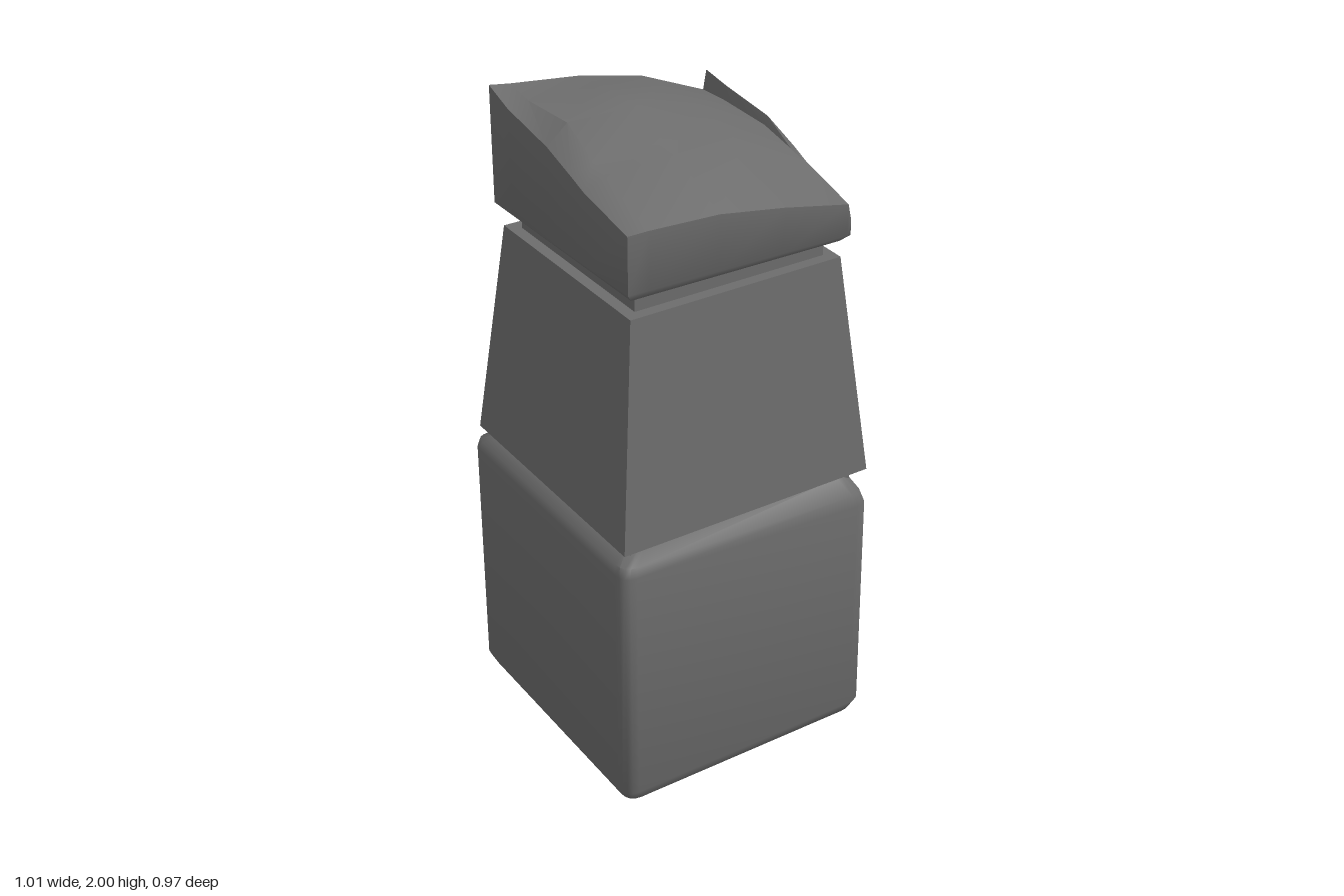
import * as THREE from 'three';
import { toCreasedNormals } from 'three/addons/utils/BufferGeometryUtils.js';

const material = new THREE.MeshStandardMaterial({ color: 0x6c6c6c, side: THREE.DoubleSide });

function mesh(name, geometry) {
  const m = new THREE.Mesh(geometry, material);
  m.name = name;
  return m;
}

function indexed(points, index) {
  const g = new THREE.BufferGeometry();
  g.setAttribute('position', new THREE.Float32BufferAttribute(points.flat(), 3));
  g.setIndex(index);
  return g;
}

// Skin rings of equal length, listed from bottom to top, each counter-clockwise from above.
function loft(rings, { top = true, crease = 0.6 } = {}) {
  const n = rings[0].length, points = rings.flat(), index = [];
  for (let r = 0; r < rings.length - 1; r++) {
    for (let i = 0; i < n; i++) {
      const j = (i + 1) % n, a = r * n + i, b = r * n + j;
      index.push(a, b, b + n, a, b + n, a + n);
    }
  }
  const cap = (r, flip) => {
    const ring = rings[r], c = points.length;
    points.push([0, 1, 2].map(k => ring.reduce((s, p) => s + p[k], 0) / n));
    for (let i = 0; i < n; i++) {
      const a = r * n + i, b = r * n + (i + 1) % n;
      index.push(c, flip ? b : a, flip ? a : b);
    }
  };
  cap(0, true);
  if (top) cap(rings.length - 1, false);
  return toCreasedNormals(indexed(points, index), crease);
}

// Rectangle ring
const rect = (y, x0, x1, z0, z1) => [[x0, y, z1], [x1, y, z1], [x1, y, z0], [x0, y, z0]];

// Four corners rounded by short quadratic arcs
function rounded(corners, r, steps = 4) {
  const v = corners.map(c => new THREE.Vector3(...c));
  return v.flatMap((c, i) => {
    const toward = o => c.clone().add(o.clone().sub(c).setLength(r));
    const arc = new THREE.QuadraticBezierCurve3(toward(v[(i + 3) % 4]), c, toward(v[(i + 1) % 4]));
    return arc.getPoints(steps).map(p => p.toArray());
  });
}

export function createModel() {
  const model = new THREE.Group();

  // Base block with one back corner pulled outward, soft edges
  const base = [
    [[-0.46, 0.005, 0.44], [0.31, 0.005, 0.44], [0.45, 0.01, -0.44], [-0.46, 0.005, -0.34]],
    [[-0.49, 0.015, 0.47], [0.335, 0.015, 0.47], [0.49, 0.02, -0.475], [-0.49, 0.015, -0.37]],
    [[-0.507, 0.05, 0.483], [0.354, 0.05, 0.483], [0.514, 0.05, -0.492], [-0.507, 0.05, -0.388]],
    [[-0.507, 0.82, 0.485], [0.346, 0.78, 0.485], [0.355, 0.76, -0.427], [-0.507, 0.82, -0.388]],
    [[-0.5, 0.85, 0.478], [0.332, 0.82, 0.478], [0.335, 0.8, -0.405], [-0.5, 0.85, -0.38]],
    [[-0.455, 0.875, 0.44], [0.3, 0.875, 0.44], [0.3, 0.87, -0.335], [-0.455, 0.875, -0.335]],
  ];
  model.add(mesh('base', loft(base.map(c => rounded(c, 0.045)), { crease: 0.9 })));

  // Recessed necks between the blocks
  model.add(mesh('lowerNeck', loft([rect(0.86, -0.455, 0.3, -0.325, 0.44), rect(0.9, -0.455, 0.3, -0.325, 0.44)])));
  model.add(mesh('upperNeck', loft([rect(1.57, -0.385, 0.23, -0.24, 0.365), rect(1.63, -0.385, 0.23, -0.24, 0.365)])));

  // Tapered middle block
  model.add(mesh('middleBlock', loft([rect(0.895, -0.493, 0.338, -0.36, 0.472), rect(1.577, -0.42, 0.265, -0.283, 0.4)])));

  // Uneven roof of the cap: heights on a small grid, back row first
  const xs = [-0.435, -0.37, -0.15, 0.06, 0.274, 0.285];
  const zs = [-0.305, -0.2, 0.01, 0.14, 0.2, 0.415];
  const heights = [
    [2.0, 1.99, 1.965, 1.92, 1.83, 1.89],
    [1.965, 1.975, 1.975, 1.93, 1.835, 1.875],
    [1.93, 1.985, 1.985, 1.93, 1.83, 1.855],
    [1.89, 1.92, 1.925, 1.905, 1.805, 1.81],
    [1.87, 1.9, 1.91, 1.89, 1.79, 1.785],
    [1.83, 1.83, 1.82, 1.785, 1.74, 1.69],
  ];
  const nx = xs.length, nz = zs.length, roof = [], roofIndex = [];
  zs.forEach((z, k) => xs.forEach((x, i) => {
    roof.push([x, heights[k][i], z]);
    if (k < nz - 1 && i < nx - 1) {
      const a = k * nx + i, c = a + nx;
      roofIndex.push(a, c, a + 1, a + 1, c, c + 1);
    }
  }));
  model.add(mesh('capRoof', toCreasedNormals(indexed(roof, roofIndex), 0.7)));

  // Cap walls follow the rim of the roof and tuck in underneath
  const at = (k, i) => roof[k * nx + i];
  const rim = [];
  for (let i = 0; i < nx - 1; i++) rim.push(at(nz - 1, i));
  for (let k = nz - 1; k > 0; k--) rim.push(at(k, nx - 1));
  for (let i = nx - 1; i > 0; i--) rim.push(at(0, i));
  for (let k = 0; k < nz - 1; k++) rim.push(at(k, 0));
  const shrunk = (y, s, tilt) => rim.map(([x, , z]) =>
    [-0.075 + (x + 0.075) * s, y + tilt * (z - x), 0.055 + (z - 0.055) * s]);
  const walls = [shrunk(1.61, 0.85, 0), shrunk(1.622, 0.94, 0.01), shrunk(1.642, 1, 0.02), rim];
  model.add(mesh('capWalls', loft(walls, { top: false, crease: 0.9 })));

  return model;
}
